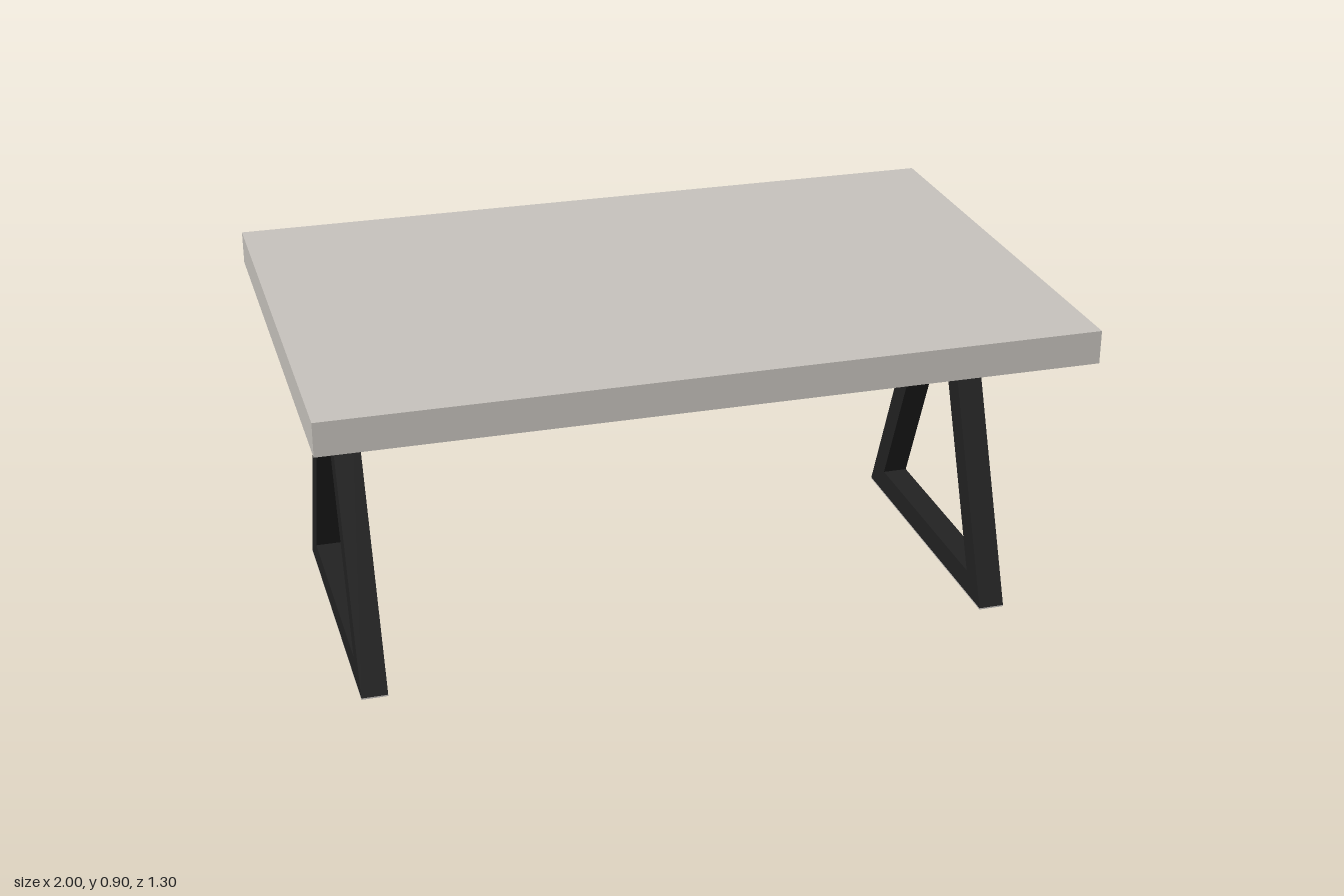
import * as THREE from 'three';

const TOP_Y = 0.905, UNDER_Y = 0.816, PAD = 0.004;
const LEG_X = 0.857, LEG_W = 0.07;

export function createModel() {
  const stone = new THREE.MeshStandardMaterial({ color: 0xc8c4be });
  stone.name = 'paleStone';
  const steel = new THREE.MeshStandardMaterial({ color: 0x222222 });
  steel.name = 'blackSteel';

  const table = new THREE.Group();
  table.name = 'table';

  const box = (name, w, h, d, x, y, material, parent) => {
    const mesh = new THREE.Mesh(new THREE.BoxGeometry(w, h, d), material);
    mesh.name = name;
    mesh.position.set(x, y, 0);
    parent.add(mesh);
  };

  // Slab top
  box('tabletop', 2, TOP_Y - UNDER_Y, 1.3, 0, (TOP_Y + UNDER_Y) / 2, stone, table);

  // A-frame outline: two sloping bars and a foot bar, open at the apex
  const half = [[0.42, PAD], [0.086, UNDER_Y], [0.012, UNDER_Y], [0.32, 0.07]];
  const mirrored = half.map(([z, y]) => [-z, y]).reverse();
  const outline = new THREE.Shape([...half, ...mirrored].map(([z, y]) => new THREE.Vector2(z, y)));
  const frameGeometry = new THREE.ExtrudeGeometry(outline, { depth: LEG_W, bevelEnabled: false });
  frameGeometry.translate(0, 0, -LEG_W / 2);
  frameGeometry.rotateY(Math.PI / 2);

  for (const side of [1, -1]) {
    const leg = new THREE.Group();
    leg.name = side > 0 ? 'leftLeg' : 'rightLeg';
    leg.position.x = side * LEG_X;
    const frame = new THREE.Mesh(frameGeometry, steel);
    frame.name = 'legFrame';
    leg.add(frame);
    // Thin floor pad under the foot bar
    box('footPad', LEG_W, PAD, 0.84, 0, PAD / 2, stone, leg);
    table.add(leg);
  }

  return table;
}
